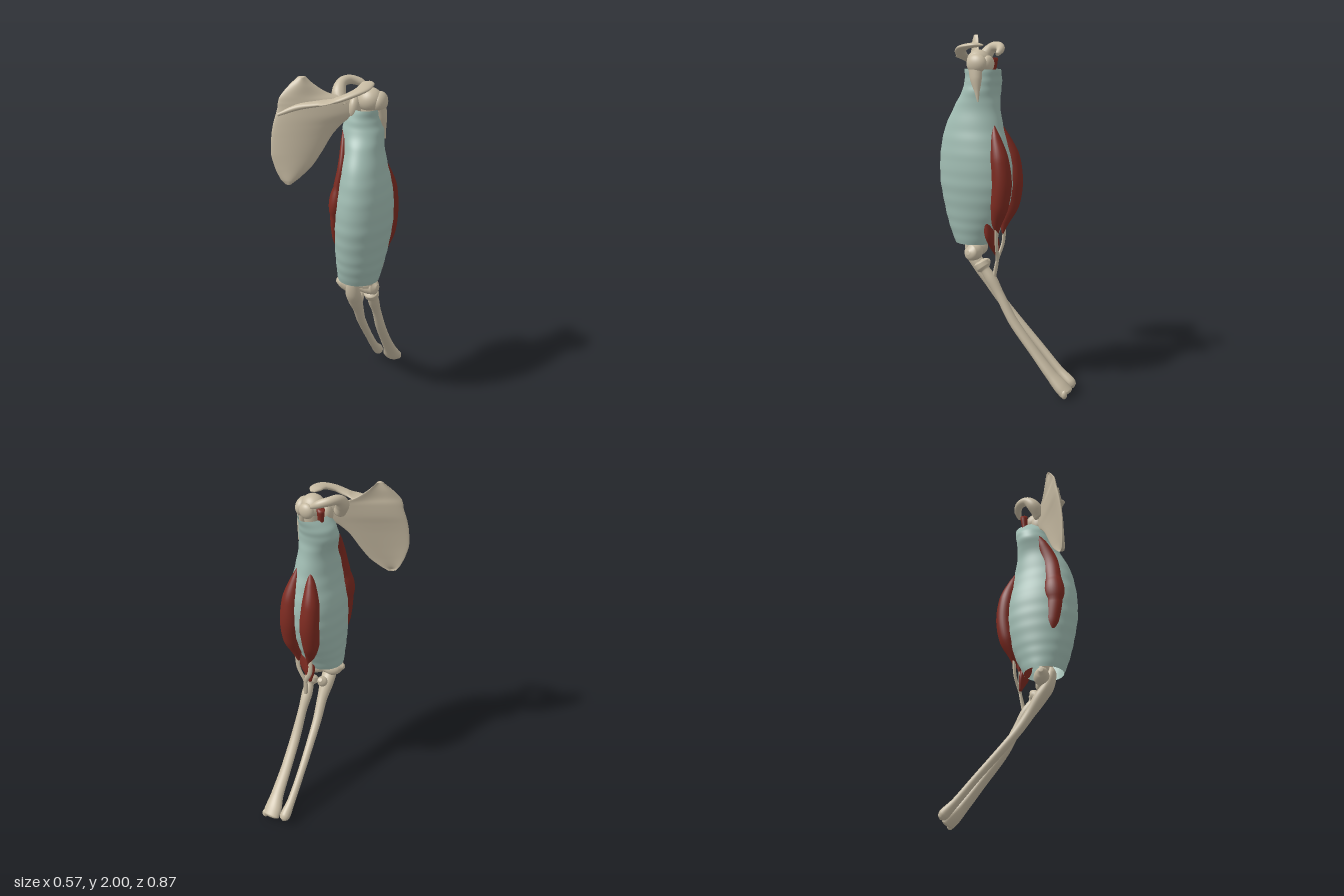
import * as THREE from 'three';

const material = (name, color, side = THREE.FrontSide) => {
  const m = new THREE.MeshStandardMaterial({ color, side });
  m.name = name;
  return m;
};
const X = new THREE.Vector3(1, 0, 0);
const Y = new THREE.Vector3(0, 1, 0);
const Z = new THREE.Vector3(0, 0, 1);

// Smooth loft through rows [x, y, z, radiusU, radiusV].
// axes fixes the ring directions; otherwise rings stand square to the path, with U near ref.
function loft(rows, { axes, ref = X, sides = 28, steps = 8, capped = true, bow = 0, ripple = 0 } = {}) {
  const path = new THREE.CatmullRomCurve3(rows.map(r => new THREE.Vector3(r[0], r[1], r[2])));
  const sizes = new THREE.CatmullRomCurve3(rows.map(r => new THREE.Vector3(r[3], r[4] ?? r[3], 0)));
  const n = (rows.length - 1) * steps;
  const positions = [], index = [];
  const tangent = new THREE.Vector3(), u = new THREE.Vector3(), v = new THREE.Vector3();
  for (let i = 0; i <= n; i++) {
    const t = i / n, c = path.getPoint(t), s = sizes.getPoint(t);
    if (axes) { u.copy(axes[0]); v.copy(axes[1]); }
    else {
      path.getTangent(t, tangent);
      v.crossVectors(tangent, ref).normalize();
      u.crossVectors(v, tangent);
    }
    const wave = ripple * Math.sin(i * 0.9);
    const ru = Math.max(s.x, 0.001) + wave, rv = Math.max(s.y, 0.001) + wave;
    for (let j = 0; j < sides; j++) {
      const a = j / sides * Math.PI * 2, cos = Math.cos(a), sin = Math.sin(a);
      const p = c.clone().addScaledVector(u, ru * cos).addScaledVector(v, rv * sin + bow * sin * sin);
      positions.push(p.x, p.y, p.z);
    }
  }
  for (let i = 0; i < n; i++) {
    for (let j = 0; j < sides; j++) {
      const k = (j + 1) % sides;
      const a = i * sides + j, b = i * sides + k, c = a + sides, d = b + sides;
      index.push(a, b, c, b, d, c);
    }
  }
  if (capped) {
    const last = n * sides;
    for (let j = 1; j < sides - 1; j++) index.push(0, j + 1, j, last, last + j, last + j + 1);
  }
  const g = new THREE.BufferGeometry();
  g.setAttribute('position', new THREE.Float32BufferAttribute(positions, 3));
  g.setIndex(index);
  g.computeVertexNormals();
  return g;
}

export function createModel() {
  const bone = material('bone', 0xc6baa2);
  const muscle = material('muscle red', 0x7c2a20);
  const wrap = material('sleeve teal', 0xa0bcb2, THREE.DoubleSide);
  const model = new THREE.Group();
  model.name = 'upperLimb';

  const add = (name, geometry, mat) => {
    const mesh = new THREE.Mesh(geometry, mat);
    mesh.name = name;
    model.add(mesh);
    return mesh;
  };
  const ball = (name, mat, [x, y, z], [rx, ry, rz]) => {
    const mesh = add(name, new THREE.SphereGeometry(1, 28, 20), mat);
    mesh.position.set(x, y, z);
    mesh.scale.set(rx, ry, rz);
  };

  // Open sleeve round the upper arm: y, x range, z range
  const sleeve = [
    [1.82, 0.06, 0.21, 0.0, 0.215], [1.76, 0.015, 0.215, 0.01, 0.22],
    [1.70, 0.0, 0.225, 0.02, 0.235], [1.62, 0.02, 0.228, 0.015, 0.28],
    [1.50, 0.015, 0.25, -0.01, 0.338], [1.40, 0.0, 0.27, -0.04, 0.362],
    [1.30, -0.02, 0.28, -0.065, 0.375], [1.20, -0.025, 0.28, -0.07, 0.375],
    [1.10, -0.025, 0.27, -0.055, 0.362], [1.00, -0.02, 0.255, -0.02, 0.342],
    [0.92, -0.015, 0.24, 0.02, 0.32], [0.84, -0.01, 0.22, 0.06, 0.29],
  ].map(([y, x0, x1, z0, z1]) => [(x0 + x1) / 2, y, (z0 + z1) / 2, (x1 - x0) / 2, (z1 - z0) / 2]);
  add('sleeve', loft(sleeve, { axes: [X, Z], sides: 64, capped: false, ripple: 0.0008 }), wrap);

  // Two muscle bellies on the bending side
  for (const [name, x, lean] of [['innerBelly', 0.065, 0.03], ['outerBelly', 0.198, -0.02]]) {
    add(name, loft([
      [x + lean, 1.52, 0.015, 0.003, 0.003], [x + lean * 0.6, 1.45, 0.0, 0.028, 0.028],
      [x, 1.33, -0.03, 0.05, 0.052], [x, 1.2, -0.044, 0.056, 0.056],
      [x, 1.07, -0.03, 0.048, 0.05], [x + lean * 0.8, 0.97, -0.004, 0.03, 0.028],
      [x + lean * 1.4, 0.9, 0.0, 0.004, 0.004],
    ]), muscle);
    // Tendon from each belly down to the forearm
    add(name + 'Tendon', loft([
      [x + lean * 0.8, 0.97, -0.002, 0.016, 0.01], [x * 0.6 + 0.055, 0.85, 0.003, 0.014, 0.008],
      [0.138, 0.75, 0.018, 0.013, 0.008], [0.147, 0.65, 0.035, 0.013, 0.012],
    ]), bone);
  }
  // Upper cord running down inside the sleeve
  add('upperCord', loft([
    [0.065, 1.88, 0.075, 0.022], [0.07, 1.75, 0.08, 0.022], [0.09, 1.6, 0.07, 0.025], [0.09, 1.45, 0.03, 0.02],
  ]), muscle);
  // Long strip on the inner rear side
  add('innerStrip', loft([
    [0.02, 1.71, 0.175, 0.004, 0.006], [0.035, 1.64, 0.205, 0.018, 0.03],
    [0.045, 1.52, 0.245, 0.026, 0.048], [0.03, 1.4, 0.265, 0.03, 0.05],
    [0.016, 1.25, 0.275, 0.03, 0.05], [0.014, 1.12, 0.26, 0.025, 0.042], [0.016, 1.01, 0.24, 0.004, 0.006],
  ]), muscle);
  // Deep muscle showing at the bottom of the sleeve
  add('deepMuscle', loft([
    [0.205, 1.04, 0.07, 0.004, 0.004], [0.19, 0.97, 0.056, 0.024, 0.02], [0.16, 0.9, 0.048, 0.05, 0.024],
    [0.13, 0.84, 0.04, 0.045, 0.022], [0.11, 0.76, 0.028, 0.008, 0.008],
  ]), muscle);

  // Upper arm bone with head, tubercle and crest
  add('humerusShaft', loft([
    [0.15, 1.84, 0.12, 0.055], [0.15, 1.7, 0.13, 0.04], [0.13, 1.35, 0.16, 0.034],
    [0.115, 1.0, 0.19, 0.036, 0.032], [0.105, 0.87, 0.19, 0.08, 0.03], [0.105, 0.8, 0.18, 0.09, 0.035],
  ]), bone);
  ball('humerusHead', bone, [0.148, 1.86, 0.125], [0.068, 0.066, 0.066]);
  ball('greaterTubercle', bone, [0.198, 1.85, 0.11], [0.04, 0.055, 0.06]);
  ball('lesserTubercle', bone, [0.15, 1.85, 0.065], [0.045, 0.045, 0.03]);
  add('humerusCrest', loft([
    [0.2, 1.84, 0.115, 0.03, 0.045], [0.207, 1.77, 0.108, 0.028, 0.036],
    [0.215, 1.7, 0.098, 0.014, 0.016], [0.222, 1.645, 0.09, 0.003, 0.003],
  ]), bone);
  add('elbowHinge', loft([
    [-0.018, 0.815, 0.2, 0.012], [0.01, 0.81, 0.195, 0.035], [0.05, 0.795, 0.18, 0.046],
    [0.1, 0.79, 0.17, 0.034], [0.155, 0.79, 0.155, 0.048], [0.195, 0.79, 0.16, 0.044], [0.216, 0.795, 0.165, 0.012],
  ], { ref: Y }), bone);

  // Forearm bones
  add('ulna', loft([
    [0.09, 0.865, 0.222, 0.012], [0.09, 0.83, 0.226, 0.03, 0.026], [0.085, 0.75, 0.205, 0.044, 0.034],
    [0.08, 0.69, 0.162, 0.042, 0.038], [0.075, 0.6, 0.1, 0.03], [0.062, 0.5, 0.03, 0.026],
    [0.05, 0.41, -0.05, 0.024], [0.03, 0.25, -0.2, 0.022], [0.02, 0.12, -0.32, 0.024],
    [0.018, 0.06, -0.385, 0.031], [0.018, 0.04, -0.402, 0.024], [0.018, 0.03, -0.41, 0.004],
  ]), bone);
  add('ulnaBeak', loft([
    [0.09, 0.68, 0.16, 0.035], [0.09, 0.715, 0.12, 0.03], [0.09, 0.735, 0.1, 0.012],
  ]), bone);
  add('radius', loft([
    [0.157, 0.738, 0.118, 0.03], [0.157, 0.728, 0.112, 0.043], [0.157, 0.706, 0.098, 0.042],
    [0.156, 0.69, 0.085, 0.028], [0.15, 0.64, 0.05, 0.032], [0.147, 0.55, -0.005, 0.026],
    [0.142, 0.41, -0.085, 0.03, 0.026], [0.13, 0.25, -0.21, 0.033, 0.025], [0.122, 0.12, -0.32, 0.04, 0.03],
    [0.112, 0.055, -0.38, 0.054, 0.036], [0.11, 0.028, -0.407, 0.054, 0.034], [0.11, 0.02, -0.414, 0.03, 0.02],
  ]), bone);
  ball('radiusTip', bone, [0.148, 0.03, -0.41], [0.018, 0.026, 0.018]);

  // Shoulder blade: y, x range, half thickness
  const across = new THREE.Vector3(1, 0, -0.7);
  const through = new THREE.Vector3(0.573, 0, 0.819);
  const blade = [
    [2.0, -0.175, -0.145, 0.005], [1.955, -0.215, -0.105, 0.012], [1.905, -0.25, -0.04, 0.014],
    [1.865, -0.26, 0.07, 0.02], [1.80, -0.27, 0.09, 0.022], [1.745, -0.28, 0.03, 0.018],
    [1.69, -0.285, -0.015, 0.015], [1.60, -0.285, -0.06, 0.013], [1.52, -0.265, -0.105, 0.012],
    [1.46, -0.24, -0.16, 0.01], [1.435, -0.222, -0.19, 0.003],
  ].map(([y, x0, x1, t]) => {
    const x = (x0 + x1) / 2;
    return [x, y, 0.215 - 0.7 * x + 0.1 * (1.8 - y), (x1 - x0) / 2, t];
  });
  add('scapulaBlade', loft(blade, { axes: [across, through], sides: 40, bow: 0.018 }), bone);
  ball('socket', bone, [0.078, 1.82, 0.165], [0.032, 0.062, 0.045]);
  // Raised ridge ending in the flat hook over the joint
  add('scapulaSpine', loft([
    [-0.255, 1.81, 0.405, 0.008, 0.006], [-0.16, 1.85, 0.36, 0.016, 0.022], [-0.06, 1.87, 0.325, 0.014, 0.034],
    [0.03, 1.89, 0.3, 0.014, 0.034], [0.1, 1.918, 0.27, 0.016, 0.032], [0.143, 1.94, 0.215, 0.015, 0.038],
    [0.145, 1.95, 0.15, 0.014, 0.036], [0.138, 1.95, 0.105, 0.005, 0.012],
  ], { ref: Y }), bone);
  // Beak-shaped hook on the bending side of the joint
  add('coracoid', loft([
    [0.02, 1.83, 0.195, 0.035], [-0.01, 1.89, 0.17, 0.038], [-0.012, 1.935, 0.125, 0.028],
    [0.012, 1.94, 0.07, 0.025], [0.055, 1.925, 0.04, 0.022], [0.1, 1.9, 0.035, 0.012],
  ], { ref: new THREE.Vector3(0.3, 0.7, 0.6) }), bone);

  return model;
}
